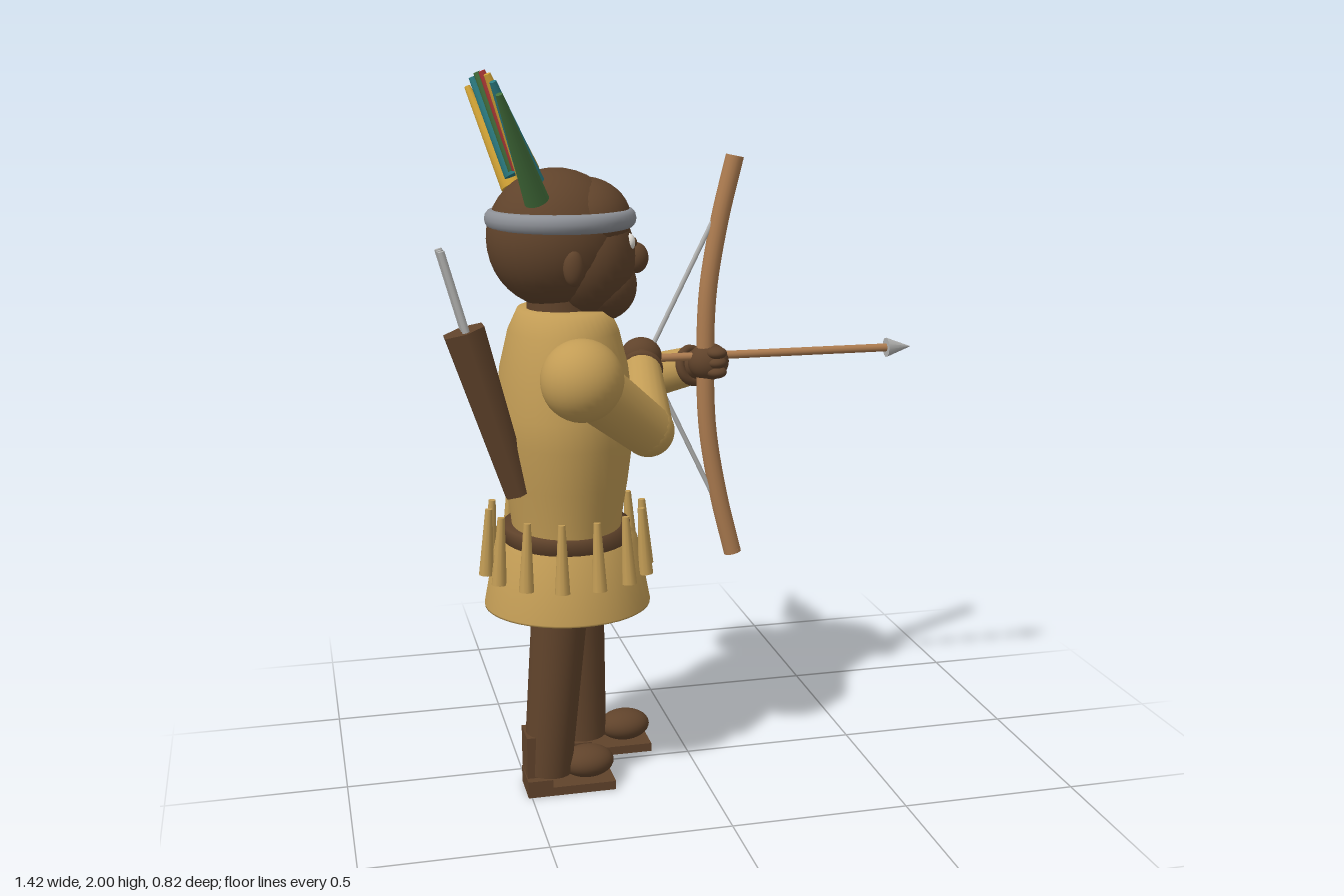
import * as THREE from 'three';

const mat = (name, color, side = THREE.FrontSide) => {
  const m = new THREE.MeshStandardMaterial({ color, side });
  m.name = name;
  return m;
};

export function createModel() {
  const tan = mat('buckskin', 0xc29c55, THREE.DoubleSide);
  const brown = mat('dark brown', 0x60432b);
  const grey = mat('band grey', 0x8d9096);
  const wood = mat('wood', 0xad7c50);
  const silver = mat('silver', 0xb4b4b2);
  const white = mat('eye white', 0xe4e0d8);
  const green = mat('feather green', 0x44703c);
  const teal = mat('feather teal', 0x2c7c82);
  const yellow = mat('feather yellow', 0xd6a636);
  const red = mat('feather red', 0xb03a38);

  const root = new THREE.Group();
  root.name = 'archer';
  const V = (x, y, z) => new THREE.Vector3(x, y, z);
  const CX = -0.36, CZ = 0.025; // body axis

  const add = (name, geo, material, x = 0, y = 0, z = 0) => {
    const m = new THREE.Mesh(geo, material);
    m.name = name;
    m.position.set(x, y, z);
    root.add(m);
    return m;
  };
  const ball = (name, material, p, rx, ry = rx, rz = rx) => {
    const m = add(name, new THREE.SphereGeometry(1, 32, 20), material, ...p);
    m.scale.set(rx, ry, rz);
    return m;
  };
  // tapered rod from a to b
  const rod = (name, material, a, b, ra, rb = ra, sides = 20) => {
    const A = V(...a), B = V(...b), d = B.clone().sub(A);
    const m = add(name, new THREE.CylinderGeometry(rb, ra, d.length(), sides), material);
    m.position.copy(A).add(B).multiplyScalar(0.5);
    m.quaternion.setFromUnitVectors(V(0, 1, 0), d.normalize());
    return m;
  };
  const lathe = (name, material, pts, sx = 1) => {
    const g = new THREE.LatheGeometry(pts.map(p => new THREE.Vector2(...p)), 40);
    const m = add(name, g, material, CX, 0, CZ);
    m.scale.x = sx;
    return m;
  };

  // Tunic, belt and skirt
  lathe('tunic', tan, [[0.185, 0.7], [0.195, 0.78], [0.215, 0.88], [0.235, 1.0], [0.237, 1.08],
    [0.22, 1.2], [0.19, 1.3], [0.155, 1.36], [0, 1.365]], 0.8);
  lathe('belt', brown, [[0.16, 0.7], [0.195, 0.7], [0.195, 0.75], [0.16, 0.75]], 0.92);
  lathe('skirt', tan, [[0, 0.515], [0.235, 0.515], [0.235, 0.52], [0.2, 0.705], [0.15, 0.71]]);
  for (let i = 0; i < 14; i++) {
    const a = (i / 14) * Math.PI * 2, c = Math.cos(a), s = Math.sin(a);
    rod('tassel', tan, [CX + 0.23 * c, 0.61, CZ + 0.225 * s],
      [CX + 0.218 * c, 0.8, CZ + 0.213 * s], 0.021, 0.01, 10);
  }

  // Legs and shoes, the right one a step ahead
  const leg = (side, z, hipX, ankleX, shift) => {
    rod(side + 'Leg', brown, [ankleX, 0.055, z], [hipX, 0.62, z], 0.068, 0.08, 24);
    add(side + 'Sole', new THREE.BoxGeometry(0.25, 0.025, 0.12), brown, -0.385 + shift, 0.0125, z);
    add(side + 'Heel', new THREE.BoxGeometry(0.07, 0.03, 0.12), brown, -0.475 + shift, 0.033, z);
    add(side + 'HeelGuard', new THREE.BoxGeometry(0.06, 0.12, 0.1), brown, -0.48 + shift, 0.115, z);
    ball(side + 'Toe', brown, [-0.33 + shift, 0.07, z], 0.075, 0.045, 0.058);
  };
  leg('left', 0.14, -0.395, -0.445, 0);
  leg('right', -0.09, -0.315, -0.3, 0.155);

  // Arms
  const arm = (side, shoulder, elbow, wrist, hand) => {
    ball(side + 'Shoulder', tan, shoulder, 0.11);
    rod(side + 'UpperArm', tan, shoulder, elbow, 0.085, 0.072);
    ball(side + 'Elbow', tan, elbow, 0.072);
    rod(side + 'Forearm', tan, elbow, wrist, 0.07, 0.056);
    const d = V(...hand).sub(V(...wrist)).normalize();
    const cuff = add(side + 'Cuff', new THREE.TorusGeometry(0.048, 0.014, 10, 24), brown, ...wrist);
    cuff.quaternion.setFromUnitVectors(V(0, 0, 1), d);
    rod(side + 'Wrist', brown, wrist, hand, 0.042);
    ball(side + 'Hand', brown, hand, 0.06, 0.055, 0.052);
  };
  arm('left', [-0.36, 1.21, 0.305], [-0.16, 1.04, 0.195], [-0.128, 1.165, -0.03], [-0.115, 1.19, -0.095]);
  arm('right', [-0.36, 1.21, -0.265], [-0.095, 1.07, -0.335], [0.05, 1.145, -0.15], [0.085, 1.165, -0.095]);
  // curled fingers round the bow
  for (let i = 0; i < 3; i++)
    ball('finger', brown, [0.1, 1.14 + i * 0.028, -0.06], 0.03, 0.018, 0.03);

  // Head
  rod('neck', brown, [CX, 1.3, CZ], [CX, 1.42, CZ], 0.1);
  ball('skull', brown, [-0.375, 1.55, CZ], 0.19, 0.19, 0.188);
  ball('face', brown, [-0.295, 1.5, CZ], 0.135, 0.17, 0.17);
  ball('brow', brown, [-0.3, 1.6, CZ], 0.13, 0.115, 0.165);
  ball('jaw', brown, [-0.255, 1.42, CZ], 0.1, 0.1, 0.13);
  ball('nose', brown, [-0.155, 1.49, CZ], 0.036, 0.043, 0.032);
  for (const s of [-1, 1]) {
    ball('ear', brown, [-0.36, 1.49, CZ + s * 0.18], 0.028, 0.048, 0.022);
    ball('eye', white, [-0.19, 1.543, CZ + s * 0.078], 0.018, 0.024, 0.022);
    ball('pupil', brown, [-0.176, 1.543, CZ + s * 0.08], 0.008, 0.013, 0.012);
  }
  const band = add('headband', new THREE.TorusGeometry(0.186, 0.02, 12, 48), grey, -0.362, 1.605, CZ);
  band.rotation.x = Math.PI / 2;
  band.scale.z = 1.3;

  // Feather fan, from the left side to the right
  const feathers = [green, teal, yellow, red, green, teal, yellow];
  feathers.forEach((m, i) => {
    const k = i - 3, drop = k * k;
    rod('feather', m, [-0.46, 1.745 - drop * 0.008, CZ - k * 0.073],
      [-0.565, 1.995 - drop * 0.0055, CZ - k * 0.109], 0.033, 0.009, 16);
  });

  // Bow, string and nocked arrow
  const BZ = -0.092, MY = 1.17;
  const bowPts = [[0.16, -0.585], [0.115, -0.4], [0.082, -0.2], [0.075, 0], [0.082, 0.2], [0.115, 0.4], [0.16, 0.585]];
  const curve = new THREE.CatmullRomCurve3(bowPts.map(([x, y]) => V(x, MY + y, BZ)));
  add('bow', new THREE.TubeGeometry(curve, 32, 0.026, 16), wood);
  for (const i of [0, 6]) {
    const [x, y] = bowPts[i], s = Math.sign(y);
    rod('bowTip', wood, [x - 0.002, MY + y - s * 0.01, BZ], [x, MY + y, BZ], 0.026, 0.026, 16);
    rod('bowString', silver, [0.125, MY + s * 0.46, BZ], [-0.1, 1.183, BZ], 0.007, 0.007, 8);
  }
  rod('arrowShaft', wood, [-0.1, 1.183, BZ], [0.635, 1.183, BZ], 0.012, 0.012, 12);
  rod('arrowHead', silver, [0.63, 1.183, BZ], [0.705, 1.183, BZ], 0.029, 0.001, 12);

  // Quiver with spare arrows on the back
  const QZ = 0.135;
  rod('quiver', brown, [-0.51, 0.87, QZ], [-0.645, 1.325, QZ], 0.04, 0.062, 6);
  for (const s of [-1, 0, 1])
    rod('spareArrow', silver, [-0.63, 1.28, QZ + s * 0.034], [-0.702, 1.54, QZ + s * 0.034], 0.01, 0.01, 8);

  return root;
}
